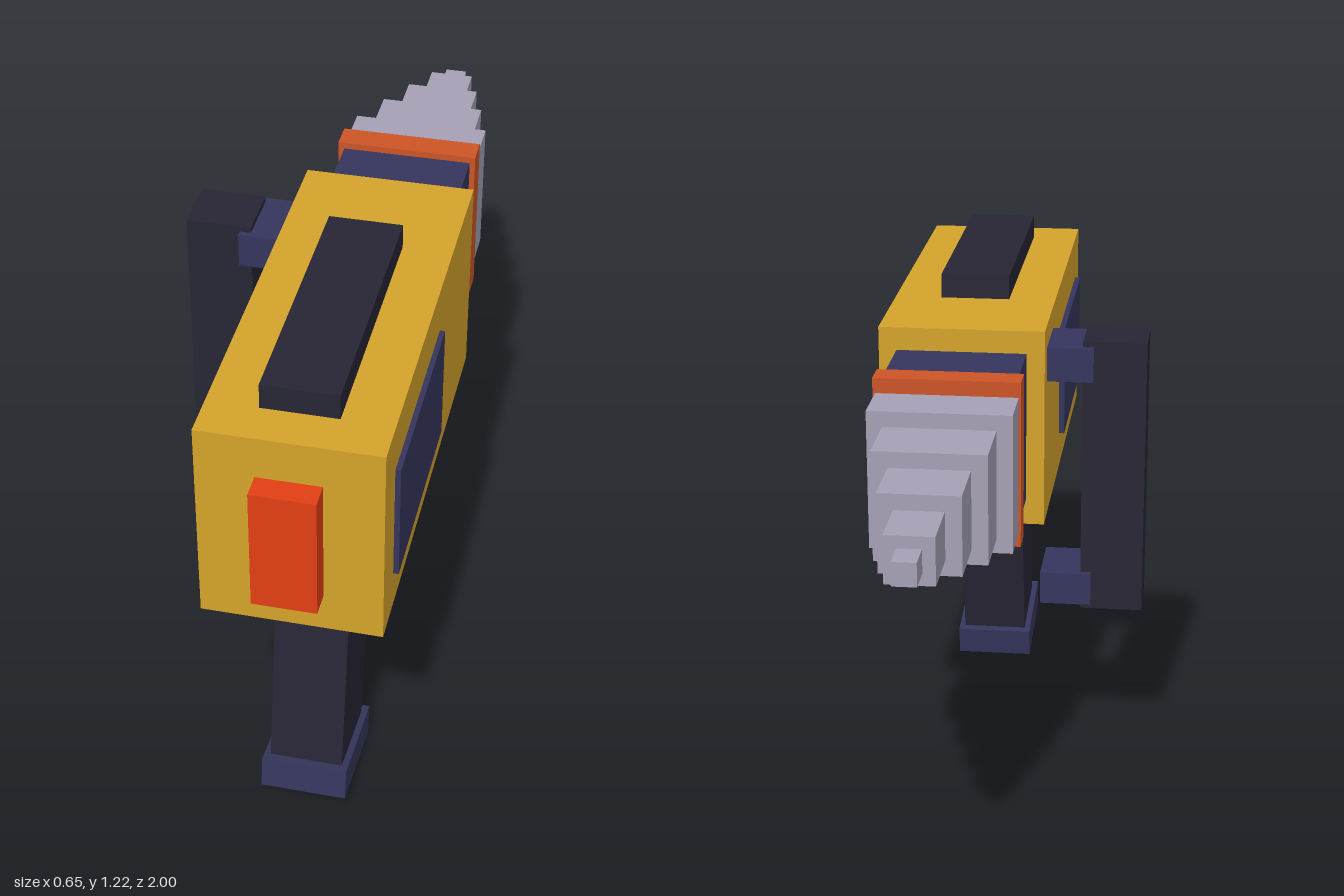
import * as THREE from 'three';

const mat = (color) => new THREE.MeshStandardMaterial({ color, flatShading: true });

export function createModel() {
  const model = new THREE.Group();
  const yellow = mat(0xd4a32a), dark = mat(0x272534), navy = mat(0x35355d);
  const red = mat(0xe23e14), orange = mat(0xcc5426), steel = mat(0xa59fb5);

  // Box given by its limits on each axis
  const box = (name, material, [x0, x1], [y0, y1], [z0, z1], parent = model) => {
    const mesh = new THREE.Mesh(new THREE.BoxGeometry(x1 - x0, y1 - y0, z1 - z0), material);
    mesh.position.set((x0 + x1) / 2, (y0 + y1) / 2, (z0 + z1) / 2);
    mesh.name = name;
    parent.add(mesh);
    return mesh;
  };

  // Housing with top rail, rear button and side panels
  box('body', yellow, [-0.087, 0.313], [0.672, 1.163], [-0.07, 0.943]);
  box('topRail', dark, [0.028, 0.198], [1.15, 1.222], [0.203, 0.843]);
  box('endButton', red, [0.041, 0.184], [0.765, 1.063], [0.92, 1]);
  box('leftPanel', navy, [0.3, 0.325], [0.765, 1.05], [0.345, 0.843]);
  box('rightPanel', navy, [-0.101, -0.075], [0.765, 1.05], [0.345, 0.843]);

  // Chuck and collar
  box('chuck', navy, [-0.043, 0.27], [0.737, 1.107], [-0.29, -0.06]);
  box('collar', orange, [-0.058, 0.283], [0.722, 1.123], [-0.342, -0.275]);

  // Stepped drill bit: [width, back z, tip z]
  const bit = new THREE.Group();
  bit.name = 'drillBit';
  model.add(bit);
  [
    [0.33, -0.33, -0.47], [0.257, -0.46, -0.63], [0.183, -0.62, -0.785],
    [0.11, -0.775, -0.927], [0.054, -0.917, -1],
  ].forEach(([w, z1, z0], i) => {
    const cx = 0.112, cy = 0.922, h = w / 2;
    box(`bitStep${i + 1}`, steel, [cx - h, cx + h], [cy - h, cy + h], [z0, z1], bit);
  });

  // Main grip, tilted about the centre of its foot
  const grip = new THREE.Group();
  grip.name = 'mainGrip';
  grip.position.set(0.113, 0.065, 0.722);
  grip.rotation.x = -Math.PI / 18;
  model.add(grip);
  box('gripShaft', dark, [-0.085, 0.085], [0, 0.68], [-0.111, 0.111], grip);
  box('gripFoot', navy, [-0.1, 0.1], [-0.038, 0.038], [-0.133, 0.133], grip);

  // Side handle with two brackets
  box('sideHandle', dark, [-0.328, -0.173], [0.422, 1.12], [0, 0.14]);
  box('upperBracket', navy, [-0.2, -0.073], [1.022, 1.107], [-0.014, 0.155]);
  box('lowerBracket', navy, [-0.2, -0.073], [0.437, 0.52], [-0.014, 0.155]);

  return model;
}
